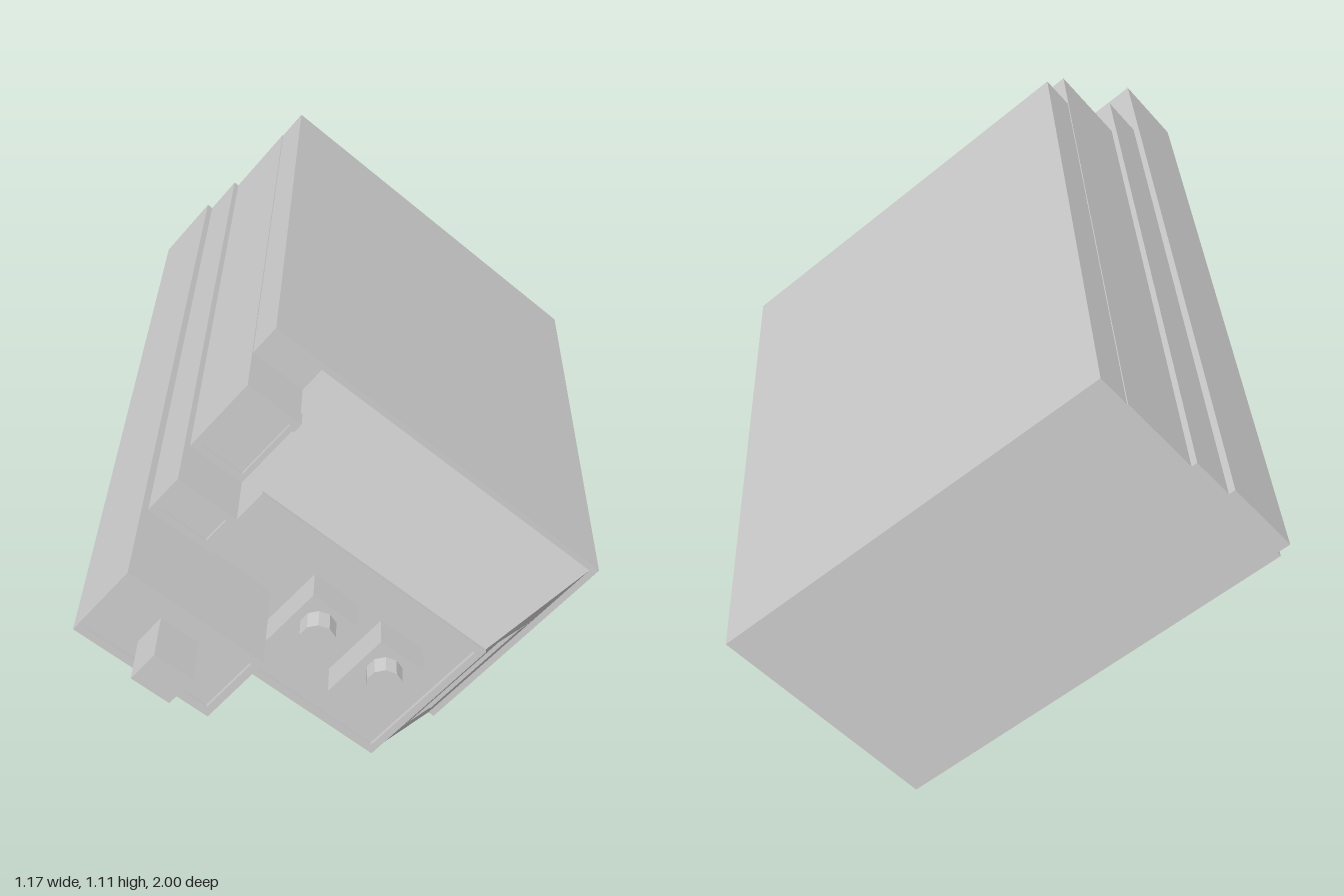
import * as THREE from 'three';
import { ConvexGeometry } from 'three/addons/geometries/ConvexGeometry.js';

const material = new THREE.MeshStandardMaterial({ color: 0xcccccc, flatShading: true });
const BACK = -1, BODY = 0.335, NOSE = 0.635, LIP = 0.01;

function add(parent, name, geometry) {
  const mesh = new THREE.Mesh(geometry, material);
  mesh.name = name;
  parent.add(mesh);
  return mesh;
}

// Box given by its limits on each axis
function block(parent, name, [x0, x1], [y0, y1], [z0, z1]) {
  const g = new THREE.BoxGeometry(x1 - x0, y1 - y0, z1 - z0);
  g.translate((x0 + x1) / 2, (y0 + y1) / 2, (z0 + z1) / 2);
  return add(parent, name, g);
}

function rectangle(Type, x0, x1, y0, y1) {
  return new Type([[x0, y0], [x1, y0], [x1, y1], [x0, y1]].map(p => new THREE.Vector2(...p)));
}

// Raised rim around a shallow front panel, its top at z
function rim(parent, name, [x0, x1], [y0, y1], z, w = 0.018) {
  const shape = rectangle(THREE.Shape, x0, x1, y0, y1);
  shape.holes.push(rectangle(THREE.Path, x0 + w, x1 - w, y0 + w, y1 - w));
  const g = new THREE.ExtrudeGeometry(shape, { depth: LIP, bevelEnabled: false });
  g.translate(0, 0, z - LIP);
  return add(parent, name, g);
}

function rimmedBlock(parent, name, xs, ys, [z0, z1]) {
  block(parent, name, xs, ys, [z0, z1 - LIP]);
  rim(parent, name + 'Rim', xs, ys, z1);
}

// Extrude an x-z profile upward from y0 to y1
function slab(parent, name, points, y0, y1) {
  const shape = new THREE.Shape(points.map(p => new THREE.Vector2(...p)));
  const g = new THREE.ExtrudeGeometry(shape, { depth: y1 - y0, bevelEnabled: false });
  g.rotateX(Math.PI / 2).translate(0, y1, 0);
  return add(parent, name, g);
}

export function createModel() {
  const model = new THREE.Group();
  model.name = 'model';

  // Everything is built square, then tilted about z
  const unit = new THREE.Group();
  unit.name = 'tiltedUnit';
  unit.rotation.z = -0.7065;
  unit.position.set(0.195, 0, 0);
  model.add(unit);

  // Main housing
  block(unit, 'housing', [-1.005, 0], [0, 0.6], [BACK, BODY]);

  // Stepped rails running the full length of the side
  rimmedBlock(unit, 'lowerRail', [-1.037, -0.68], [0.012, 0.204], [BACK, 0.885]);
  rimmedBlock(unit, 'middleRail', [-1.021, -0.858], [0.204, 0.311], [BACK, NOSE]);
  rimmedBlock(unit, 'upperRail', [-1.007, -0.855], [0.311, 0.517], [BACK, 0.485]);

  // Peg on the lower rail
  block(unit, 'peg', [-0.912, -0.813], [0.07, 0.15], [0.87, 1]);

  // Sloped nose with a notch cut in its slanted side
  const left = -0.86, foot = -0.018, front = NOSE - LIP, tip = -0.206;
  const plain = [[left, BODY], [foot, BODY], [tip, front], [left, front]];
  const notched = [[left, BODY], [foot, BODY], [-0.07, 0.418], [-0.14, 0.418],
    [-0.14, 0.522], [tip, front], [left, front]];
  slab(unit, 'noseBottom', plain, 0, 0.063);
  slab(unit, 'noseNotched', notched, 0.063, 0.385);
  const top = [];
  for (const [x, z] of plain) {
    top.push(new THREE.Vector3(x, 0.385, z));
    top.push(new THREE.Vector3(x, z === BODY ? 0.585 : 0.4, z));
  }
  add(unit, 'noseTop', new ConvexGeometry(top));
  rim(unit, 'noseRim', [left, tip], [0, 0.4], NOSE);

  // Two control blocks, each with a round button
  for (const [x0, x1, tipZ] of [[-0.635, -0.506, 0.757], [-0.44, -0.313, 0.752]]) {
    block(unit, 'controlBlock', [x0, x1], [0.122, 0.305], [0.6, 0.705]);
    const g = new THREE.CylinderGeometry(0.042, 0.042, tipZ - 0.69, 10);
    g.rotateX(Math.PI / 2).translate((x0 + x1) / 2 - 0.003, 0.247, (tipZ + 0.69) / 2);
    add(unit, 'button', g);
  }

  return model;
}
